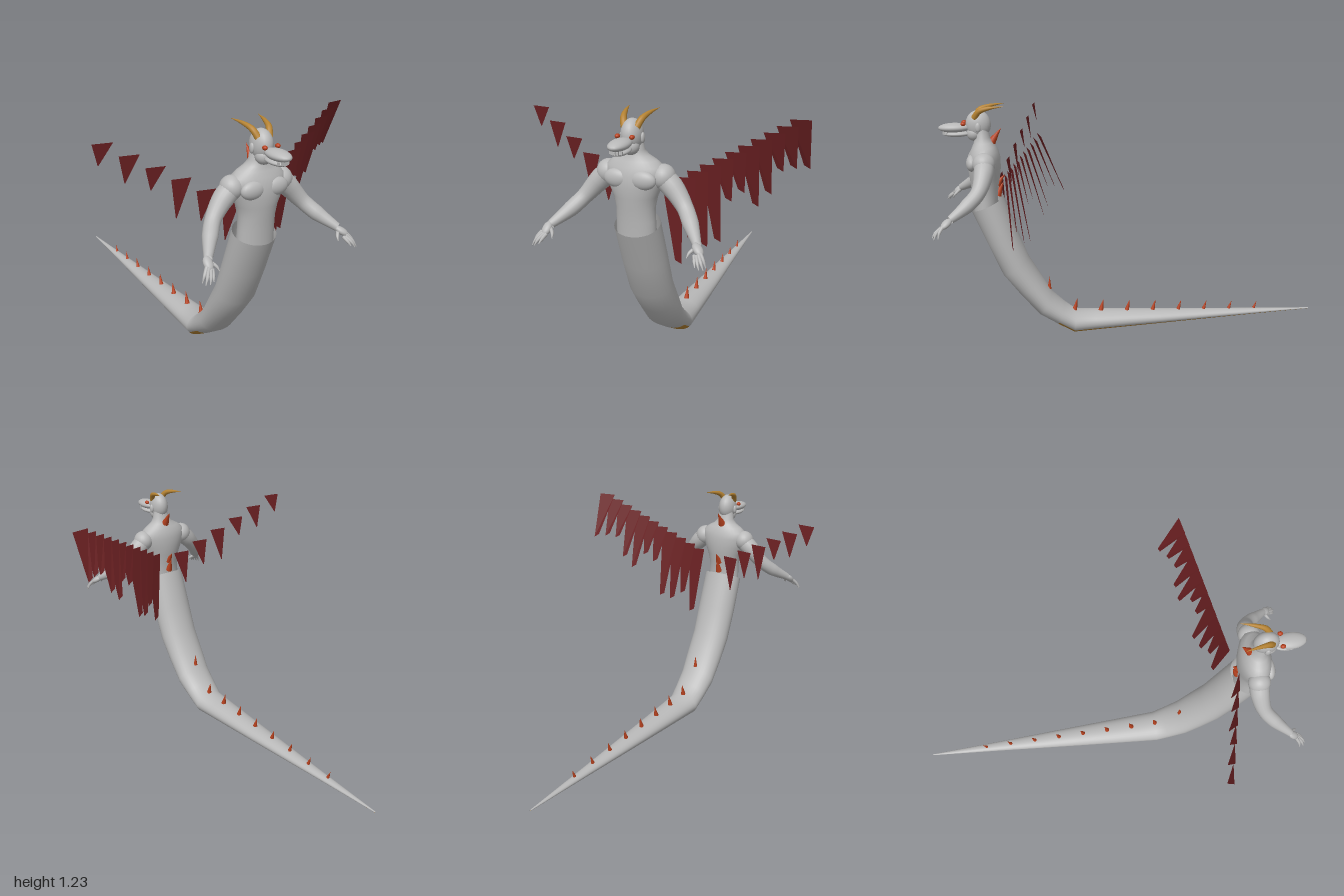
import * as THREE from 'three';

const V = (x, y, z) => new THREE.Vector3(x, y, z);
const mat = (name, color, side = THREE.FrontSide) => {
  const m = new THREE.MeshStandardMaterial({ color, side });
  m.name = name;
  return m;
};

export function createModel() {
  const skin = mat('grey skin', 0xb9b9b9, THREE.DoubleSide);
  const gold = mat('gold', 0xb48232, THREE.DoubleSide);
  const ember = mat('ember red', 0xb8421f);
  const wine = mat('wing red', 0x6b2022, THREE.DoubleSide);

  const model = new THREE.Group();
  model.name = 'hornedSerpent';
  const body = new THREE.Group();
  body.name = 'body';
  body.position.x = -0.023;
  model.add(body);

  const add = (parent, name, geo, material) => {
    const m = new THREE.Mesh(geo, material);
    m.name = name;
    parent.add(m);
    return m;
  };

  // Skin over elliptical rings {c, u, v}; isSecond picks faces for the second material
  function loft(rings, n = 24, isSecond = () => false) {
    const pos = [], lists = [[], []];
    rings.forEach(({ c, u, v }) => {
      for (let j = 0; j < n; j++) {
        const a = (j / n) * Math.PI * 2;
        const p = c.clone().addScaledVector(u, Math.cos(a)).addScaledVector(v, Math.sin(a));
        pos.push(p.x, p.y, p.z);
      }
    });
    for (let i = 0; i < rings.length - 1; i++) for (let j = 0; j < n; j++) {
      const k = (j + 1) % n, a = i * n + j, b = i * n + k, c = b + n, d = a + n;
      lists[isSecond(i, ((j + 0.5) / n) * Math.PI * 2) ? 1 : 0].push(a, b, c, a, c, d);
    }
    const g = new THREE.BufferGeometry();
    g.setAttribute('position', new THREE.Float32BufferAttribute(pos, 3));
    g.setIndex([...lists[0], ...lists[1]]);
    g.addGroup(0, lists[0].length, 0);
    g.addGroup(lists[0].length, lists[1].length, 1);
    g.computeVertexNormals();
    return g;
  }

  // Tapering tube along a smooth path
  function limb(points, radii, steps = 20, n = 14) {
    const curve = new THREE.CatmullRomCurve3(points);
    const fr = curve.computeFrenetFrames(steps);
    const rings = [];
    for (let i = 0; i <= steps; i++) {
      const u = curve.getUtoTmapping(i / steps) * (radii.length - 1);
      const k = Math.min(Math.floor(u), radii.length - 2);
      const r = THREE.MathUtils.lerp(radii[k], radii[k + 1], u - k);
      rings.push({
        c: curve.getPointAt(i / steps),
        u: fr.normals[i].clone().multiplyScalar(r),
        v: fr.binormals[i].clone().multiplyScalar(r),
      });
    }
    return loft(rings, n);
  }

  const ball = (parent, name, p, s, material) => {
    const m = add(parent, name, new THREE.SphereGeometry(1, 24, 16), material);
    m.position.copy(p);
    m.scale.set(...s);
    return m;
  };

  const spike = (name, base, tip, r) => {
    const dir = tip.clone().sub(base), h = dir.length();
    const m = add(body, name, new THREE.ConeGeometry(r, h, 10).translate(0, h / 2, 0), ember);
    m.position.copy(base);
    m.quaternion.setFromUnitVectors(V(0, 1, 0), dir.normalize());
  };

  // Serpent tail, tip to waist: belly z,y / back z,y / half width
  const tailRows = [
    [-1.0, 0.061, -1.0, 0.066, 0.003], [-0.6, 0.045, -0.6, 0.081, 0.028],
    [-0.15, 0.026, -0.15, 0.099, 0.058], [0.2, 0.011, 0.2, 0.116, 0.08],
    [0.32, 0.005, 0.31, 0.123, 0.087], [0.41, 0.058, 0.365, 0.168, 0.093],
    [0.503, 0.118, 0.434, 0.235, 0.1], [0.6, 0.235, 0.49, 0.335, 0.105],
    [0.685, 0.348, 0.55, 0.44, 0.107], [0.755, 0.515, 0.603, 0.585, 0.109],
    [0.83, 0.70, 0.664, 0.77, 0.106],
  ];
  const tail = loft(tailRows.map(([fz, fy, bz, by, w]) => ({
    c: V(0, (fy + by) / 2, (fz + bz) / 2),
    u: V(w, 0, 0),
    v: V(0, (by - fy) / 2, (bz - fz) / 2),
  })), 32, (i, a) => i < 5 && Math.sin(a) < -0.5);
  add(body, 'serpentTail', tail, [skin, gold]);

  // Torso and neck: y, half width, front z, back z
  const torsoRows = [
    [0.68, 0.092, 0.815, 0.69], [0.76, 0.09, 0.818, 0.694], [0.82, 0.089, 0.825, 0.688],
    [0.87, 0.1, 0.83, 0.678], [0.92, 0.122, 0.836, 0.672], [0.97, 0.138, 0.832, 0.672],
    [1.005, 0.132, 0.82, 0.68], [1.03, 0.1, 0.808, 0.693], [1.05, 0.065, 0.8, 0.705],
    [1.075, 0.046, 0.795, 0.718], [1.13, 0.04, 0.79, 0.728],
  ];
  add(body, 'torso', loft(torsoRows.map(([y, w, f, b]) => ({
    c: V(0, y, (f + b) / 2), u: V(w, 0, 0), v: V(0, 0, (b - f) / 2),
  })), 32), skin);

  // Head with a long muzzle
  const head = new THREE.Group();
  head.name = 'head';
  body.add(head);
  ball(head, 'skull', V(0, 1.14, 0.773), [0.047, 0.07, 0.062], skin);
  ball(head, 'chin', V(0, 1.095, 0.795), [0.04, 0.038, 0.038], skin);
  ball(head, 'upperMuzzle', V(0, 1.125, 0.892), [0.043, 0.024, 0.078], skin);
  ball(head, 'lowerJaw', V(0, 1.094, 0.88), [0.036, 0.015, 0.066], skin);
  for (let i = -2; i <= 2; i++) {
    const tooth = add(head, 'tooth', new THREE.BoxGeometry(0.01, 0.014, 0.008), skin);
    tooth.position.set(i * 0.012, 1.1, 0.945 - i * i * 0.004);
  }

  for (const s of [1, -1]) {
    const side = s > 0 ? 'left' : 'right';
    const P = (x, y, z) => V(s * x, y, z);

    // Face details and horns
    ball(head, side + 'Eye', P(0.033, 1.147, 0.845), [0.011, 0.01, 0.013], ember);
    ball(head, side + 'Ear', P(0.048, 1.13, 0.773), [0.009, 0.023, 0.014], skin);
    add(head, side + 'Horn', limb(
      [P(0.028, 1.175, 0.79), P(0.042, 1.208, 0.765), P(0.055, 1.225, 0.715), P(0.071, 1.234, 0.645)],
      [0.016, 0.014, 0.009, 0.0005]), gold);

    // Chest and arm
    ball(body, side + 'Pectoral', P(0.06, 0.955, 0.81), [0.06, 0.042, 0.029], skin);
    const arm = new THREE.Group();
    arm.name = side + 'Arm';
    body.add(arm);
    ball(arm, 'shoulder', P(0.128, 0.962, 0.748), [0.053, 0.055, 0.055], skin);
    add(arm, 'upperAndForearm', limb(
      [P(0.11, 0.972, 0.748), P(0.17, 0.92, 0.75), P(0.235, 0.845, 0.775),
        P(0.28, 0.795, 0.825), P(0.338, 0.742, 0.905)],
      [0.05, 0.048, 0.036, 0.035, 0.019], 24, 18), skin);

    // Hand
    const palm = ball(arm, 'palm', P(0.348, 0.728, 0.922), [0.021, 0.016, 0.035], skin);
    palm.lookAt(P(0.375, 0.69, 0.965));
    const fingers = [
      [[0.363, 0.72, 0.935], [0.383, 0.695, 0.952], [0.396, 0.667, 0.958]],
      [[0.358, 0.714, 0.942], [0.378, 0.69, 0.967], [0.392, 0.664, 0.978]],
      [[0.35, 0.71, 0.946], [0.365, 0.69, 0.973], [0.376, 0.668, 0.987]],
      [[0.341, 0.71, 0.944], [0.35, 0.692, 0.967], [0.357, 0.675, 0.982]],
      [[0.335, 0.73, 0.915], [0.316, 0.713, 0.935], [0.31, 0.697, 0.95]],
    ];
    fingers.forEach((f, i) => add(arm, i < 4 ? 'finger' : 'thumb',
      limb(f.map((p) => P(...p)), [0.009, 0.0075, 0.002], 8, 8), skin));
  }

  // Spikes down the tail and spine
  for (let i = 0; i < 8; i++) {
    const z = 0.315 - i * 0.1425, y = 0.118 - i * 0.0053, h = 0.069 - i * 0.004;
    spike('tailSpike', V(0, y, z), V(0, y + h, z - 0.016), 0.0145 - i * 0.0009);
  }
  spike('tailSpike', V(0, 0.25, 0.447), V(0, 0.318, 0.443), 0.011);
  spike('neckSpike', V(0, 1.05, 0.712), V(0, 1.12, 0.662), 0.021);
  spike('backSpike', V(0, 0.83, 0.695), V(0, 0.882, 0.655), 0.02);
  spike('backSpike', V(0, 0.775, 0.695), V(0, 0.845, 0.662), 0.02);

  // Flat feather: level top edge, narrowing to a slanted bottom edge
  const feather = (parent, a, b, c, d) => {
    const g = new THREE.BufferGeometry().setFromPoints([a, d, c, a, c, b]);
    g.computeVertexNormals();
    add(parent, 'feather', g, wine);
  };

  // Full left wing
  const leftWing = new THREE.Group();
  leftWing.name = 'leftWing';
  const bottoms = [0.95, 0.955, 0.945, 0.835, 0.775, 0.85, 0.81, 0.61, 0.59, 0.625, 0.515];
  bottoms.forEach((yb, i) => {
    const x = 0.623 - i * 0.052, y = 1.19 - i * 0.029, z = 0.48 + i * 0.0165;
    const zb = z - (y - yb) * (0.4 - i * 0.035);
    feather(leftWing, V(x - 0.046, y, z + 0.008), V(x + 0.046, y, z - 0.008),
      V(x + 0.028, yb, zb - 0.003), V(x, yb + 0.017, zb + 0.003));
  });

  // Sparse right wing of pointed feathers
  const rightWing = new THREE.Group();
  rightWing.name = 'rightWing';
  [1.06, 0.975, 0.937, 0.8, 0.78, 0.68].forEach((yb, i) => {
    const x = -0.628 + i * 0.105, y = 1.16 - i * 0.058, z = 0.497 + i * 0.036;
    feather(rightWing, V(x - 0.046, y, z - 0.007), V(x + 0.046, y, z + 0.007),
      V(x - 0.014, yb, z - 0.016), V(x - 0.018, yb + 0.002, z - 0.016));
  });
  model.add(leftWing, rightWing);

  return model;
}
